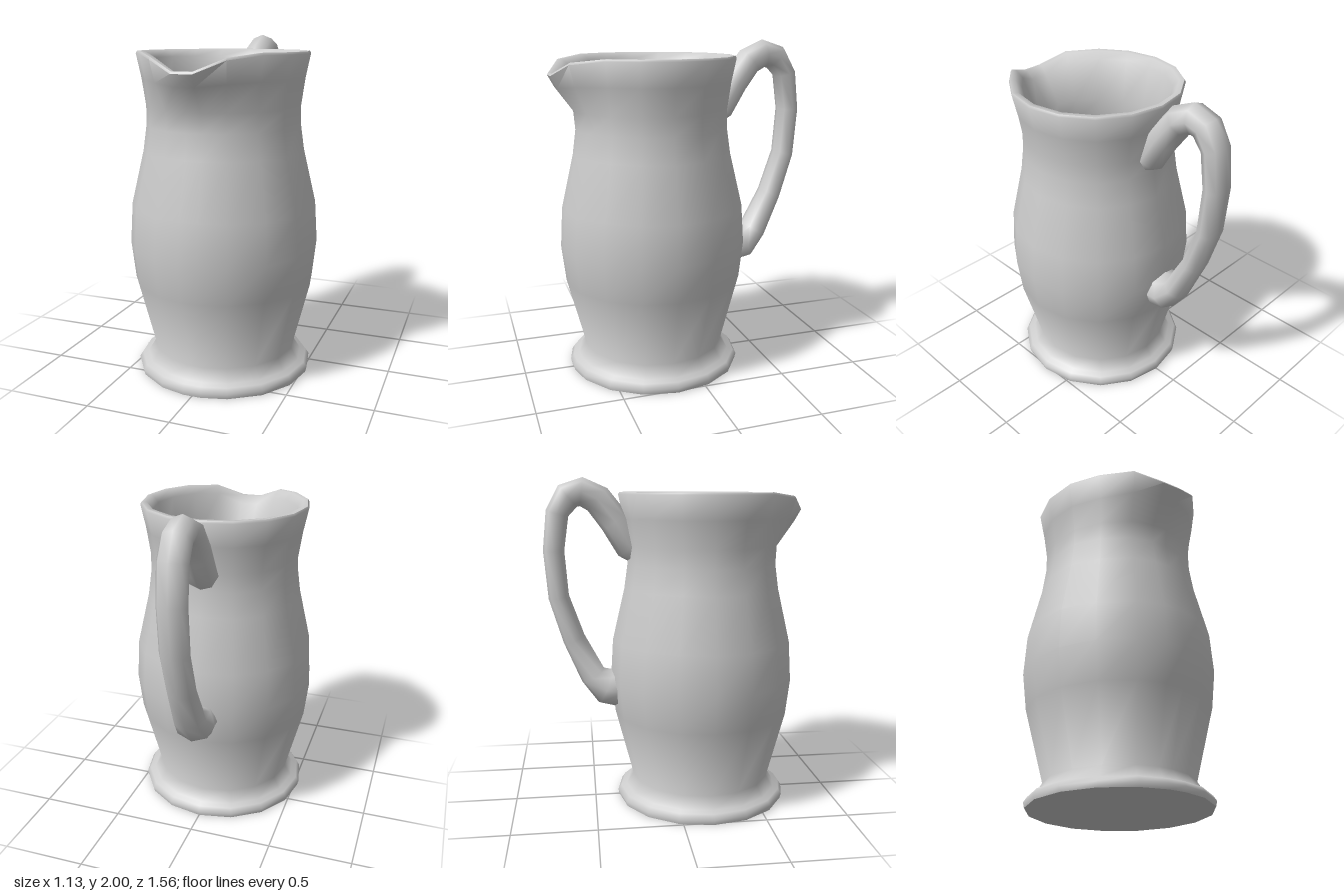
import * as THREE from 'three';
import { toCreasedNormals } from 'three/addons/utils/BufferGeometryUtils.js';

const CZ = 0.177; // the body axis sits forward of the origin, the handle behind it

// Joins closed rings of points into a skin, capping both ends with a centre point.
function skin(rings, crease) {
  const n = rings[0].length, pos = [], idx = [];
  rings.forEach(ring => ring.forEach(p => pos.push(p.x, p.y, p.z)));
  for (let i = 0; i < rings.length - 1; i++) {
    for (let j = 0; j < n; j++) {
      const k = (j + 1) % n, a = i * n + j, b = i * n + k;
      idx.push(a, b, b + n, a, b + n, a + n);
    }
  }
  [0, rings.length - 1].forEach((r, end) => {
    const c = new THREE.Vector3();
    rings[r].forEach(p => c.addScaledVector(p, 1 / n));
    const ci = pos.length / 3;
    pos.push(c.x, c.y, c.z);
    for (let j = 0; j < n; j++) {
      const a = r * n + j, b = r * n + (j + 1) % n;
      if (end) idx.push(a, b, ci); else idx.push(b, a, ci);
    }
  });
  const g = new THREE.BufferGeometry();
  g.setAttribute('position', new THREE.Float32BufferAttribute(pos, 3));
  g.setIndex(idx);
  return toCreasedNormals(g, crease);
}

// Sixteen-sided ring whose front corner is split in two for the spout.
const step = Math.PI / 8;
const angles = [-0.1, 0.1];
for (let k = 1; k < 16; k++) angles.push(k * step);

// spout: 0 = round ring, 1 = fully pulled forward; dip: how far the lip drops
function bodyRing([r, y, spout = 0, dip = 0]) {
  return angles.map((a, i) => {
    const front = i < 2, beside = i === 2 || i === angles.length - 1;
    const w = front ? 1 : beside ? 0.6 : 0;
    const d = front ? 1 : beside ? 0.25 : 0;
    const rr = r + 0.1 * spout * w;
    return new THREE.Vector3(rr * Math.sin(a), y - dip * d, CZ + rr * Math.cos(a));
  });
}

export function createModel() {
  const group = new THREE.Group();
  const mat = new THREE.MeshStandardMaterial({ color: 0xcccccc, side: THREE.DoubleSide });
  const add = (name, geo) => {
    const m = new THREE.Mesh(geo, mat);
    m.name = name;
    group.add(m);
  };

  // Jug body: up the outside, over the rim, down the inside to the floor
  const profile = [
    [0.525, 0], [0.532, 0.03], [0.512, 0.06], [0.475, 0.07], // foot
    [0.432, 0.14], [0.54, 0.56], [0.565, 0.78], [0.55, 1.02],
    [0.475, 1.34], [0.454, 1.49], [0.453, 1.6, 0.1],
    [0.476, 1.76, 0.9, 0.02], [0.505, 1.9, 1, 0.09],
    [0.497, 1.913, 1, 0.09], [0.467, 1.912, 1, 0.09], // rim
    [0.432, 1.87, 0.9, 0.09], [0.39, 1.62, 0.15], [0.395, 1.49],
    [0.42, 1.34], [0.495, 1.02], [0.51, 0.78], [0.485, 0.56],
    [0.38, 0.2], [0.25, 0.12],
  ];
  add('jugBody', skin(profile.map(bodyRing), 0.95));

  // Handle: z, y, half width, half thickness along its centre line
  const stations = [
    [-0.18, 1.52, 0.07, 0.06], [-0.26, 1.59, 0.1, 0.09], [-0.35, 1.74, 0.095, 0.09],
    [-0.45, 1.87, 0.09, 0.088], [-0.545, 1.915, 0.088, 0.085], [-0.625, 1.89, 0.088, 0.082],
    [-0.69, 1.79, 0.09, 0.068], [-0.717, 1.57, 0.09, 0.063], [-0.695, 1.29, 0.09, 0.062],
    [-0.61, 1.03, 0.092, 0.068], [-0.5, 0.8, 0.105, 0.08], [-0.42, 0.725, 0.13, 0.115],
    [-0.3, 0.71, 0.12, 0.13],
  ];
  const rings = stations.map(([z, y, hw, ht], i) => {
    const a = stations[Math.max(i - 1, 0)], b = stations[Math.min(i + 1, stations.length - 1)];
    const t = new THREE.Vector2(b[0] - a[0], b[1] - a[1]).normalize();
    return Array.from({ length: 8 }, (_, j) => {
      const u = j * Math.PI / 4, s = Math.sin(u) * ht;
      return new THREE.Vector3(Math.cos(u) * hw, y + t.x * s, z - t.y * s);
    });
  });
  rings.forEach(r => r.reverse());
  add('handle', skin(rings, 1.1));

  return group;
}
